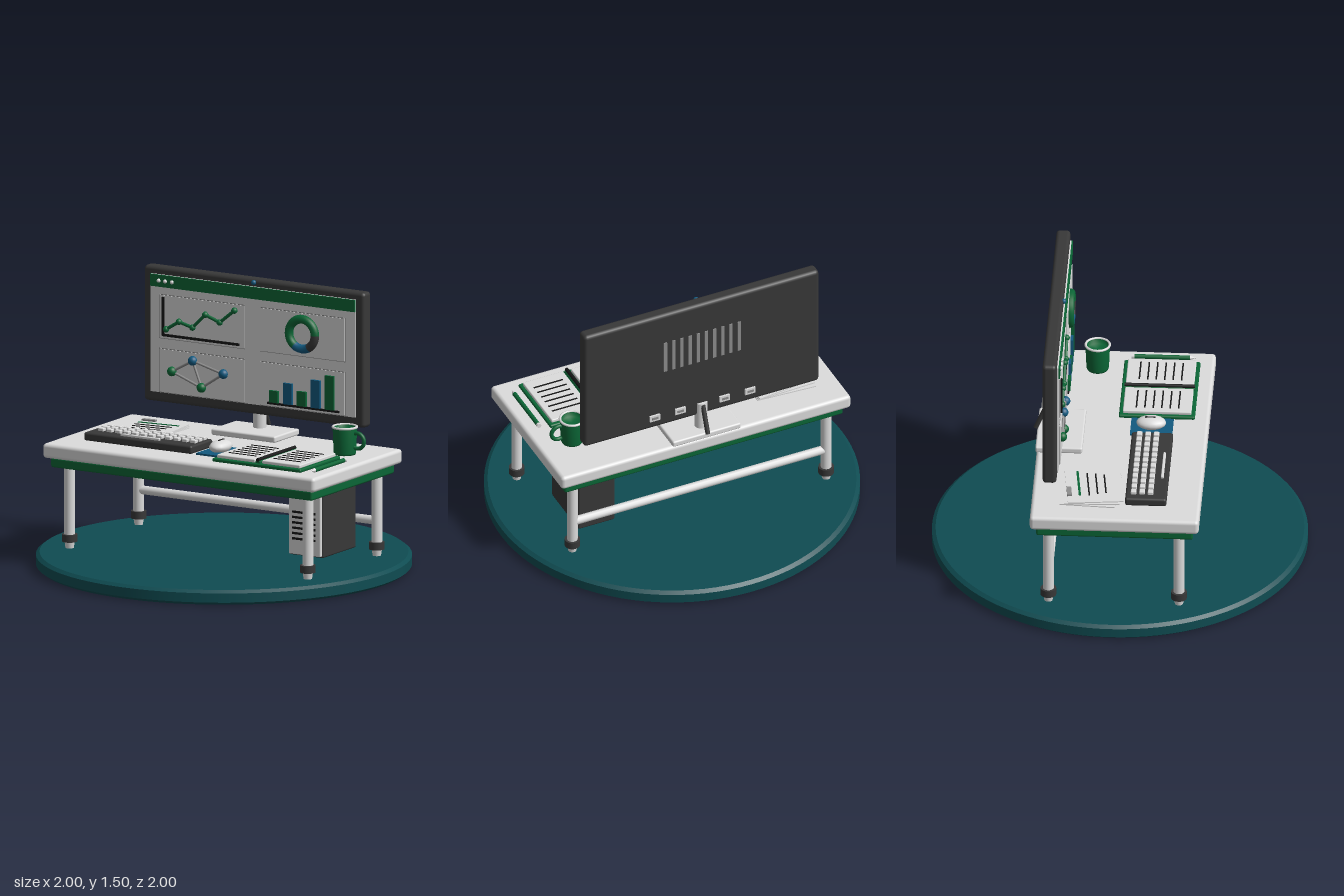
import * as THREE from 'three';
import { RoundedBoxGeometry } from 'three/addons/geometries/RoundedBoxGeometry.js';

const colors = {
  light: 0xdcdcdc, dark: 0x383838, ink: 0x161616, green: 0x0b6636,
  teal: 0x0f4c52, blue: 0x125a80, grey: 0x8c8c8c,
};

export function createModel() {
  const root = new THREE.Group();
  root.name = 'computerDesk';
  const M = {};
  for (const [name, color] of Object.entries(colors)) {
    M[name] = new THREE.MeshStandardMaterial({ color });
    M[name].name = name;
  }

  const group = (name, parent = root) => {
    const g = new THREE.Group();
    g.name = name;
    parent.add(g);
    return g;
  };
  const add = (parent, name, geo, mat, x = 0, y = 0, z = 0) => {
    const m = new THREE.Mesh(geo, M[mat]);
    m.name = name;
    m.position.set(x, y, z);
    parent.add(m);
    return m;
  };
  const box = (p, name, mat, w, h, d, x, y, z, r = 0) =>
    add(p, name, r ? new RoundedBoxGeometry(w, h, d, 2, r) : new THREE.BoxGeometry(w, h, d), mat, x, y, z);
  const cyl = (p, name, mat, rTop, rBottom, h, x, y, z, n = 20) =>
    add(p, name, new THREE.CylinderGeometry(rTop, rBottom, h, n), mat, x, y, z);
  const ball = (p, name, mat, r, x, y, z) =>
    add(p, name, new THREE.SphereGeometry(r, 16, 12), mat, x, y, z);
  const rod = (p, name, mat, r, a, b) => {
    const va = new THREE.Vector3(...a), dir = new THREE.Vector3(...b).sub(va);
    const m = cyl(p, name, mat, r, r, dir.length(), 0, 0, 0, 12);
    m.position.copy(va).addScaledVector(dir, 0.5);
    m.quaternion.setFromUnitVectors(new THREE.Vector3(0, 1, 0), dir.normalize());
    return m;
  };

  // Round floor with bevelled edges
  cyl(root, 'floorTopBevel', 'teal', 0.98, 1, 0.015, 0, 0.0725, 0, 96);
  cyl(root, 'floorDisc', 'teal', 1, 1, 0.05, 0, 0.04, 0, 96);
  cyl(root, 'floorBottomBevel', 'teal', 1, 0.98, 0.015, 0, 0.0075, 0, 96);

  // Table
  const table = group('table');
  box(table, 'tableTop', 'light', 1.7, 0.08, 0.9, 0, 0.615, 0.015, 0.02);
  box(table, 'apron', 'green', 1.635, 0.055, 0.835, 0, 0.55, 0.015, 0.012);
  for (const x of [-0.745, 0.745]) for (const z of [-0.34, 0.355]) {
    cyl(table, 'leg', 'light', 0.029, 0.029, 0.41, x, 0.33, z);
    cyl(table, 'footCollar', 'dark', 0.042, 0.042, 0.04, x, 0.135, z);
    cyl(table, 'footTip', 'light', 0.028, 0.022, 0.04, x, 0.097, z);
  }
  rod(table, 'stretcher', 'light', 0.024, [-0.745, 0.27, -0.34], [0.745, 0.27, -0.34]);

  // Computer tower
  const tower = group('computerTower');
  box(tower, 'towerBody', 'dark', 0.215, 0.395, 0.335, 0.562, 0.328, -0.088, 0.01);
  box(tower, 'towerFront', 'light', 0.2, 0.38, 0.02, 0.562, 0.328, 0.085, 0.006);
  for (let i = 0; i < 6; i++)
    box(tower, 'towerVent', 'ink', 0.145, 0.011, 0.008, 0.56, 0.225 + i * 0.029, 0.098);
  box(tower, 'driveSlot', 'ink', 0.06, 0.01, 0.008, 0.56, 0.475, 0.098);
  ball(tower, 'powerButton', 'ink', 0.01, 0.625, 0.48, 0.096);

  // Monitor body and stand
  const monitor = group('monitor');
  box(monitor, 'monitorCase', 'dark', 1.38, 0.735, 0.075, 0, 1.137, -0.338, 0.02);
  box(monitor, 'screen', 'light', 1.28, 0.64, 0.009, 0, 1.145, -0.297);
  ball(monitor, 'camera', 'blue', 0.014, 0, 1.486, -0.299);
  box(monitor, 'standBase', 'light', 0.4, 0.035, 0.25, 0, 0.672, -0.315, 0.01);
  cyl(monitor, 'standNeck', 'light', 0.035, 0.035, 0.17, 0, 0.765, -0.36);
  rod(monitor, 'cable', 'dark', 0.013, [0, 0.84, -0.385], [0, 0.69, -0.448]);
  for (let i = 0; i < 10; i++)
    box(monitor, 'backVent', 'grey', 0.018, 0.19, 0.008, -0.216 + i * 0.048, 1.225, -0.377);
  for (const x of [-0.28, -0.13, 0.13, 0.28]) {
    box(monitor, 'port', 'light', 0.06, 0.036, 0.014, x, 0.84, -0.379);
    box(monitor, 'portSocket', 'grey', 0.036, 0.014, 0.004, x, 0.84, -0.386);
  }

  // Screen contents
  const display = group('screenDisplay', monitor);
  box(display, 'headerBar', 'green', 1.28, 0.065, 0.009, 0, 1.432, -0.289);
  for (const x of [-0.585, -0.545, -0.502]) ball(display, 'headerDot', 'light', 0.011, x, 1.433, -0.284);
  for (const x of [-0.317, 0.313]) for (const y of [1.24, 0.947]) {
    box(display, 'cardEdge', 'grey', 0.536, 0.241, 0.004, x, y, -0.2915);
    box(display, 'card', 'light', 0.528, 0.233, 0.008, x, y, -0.289);
  }

  // Line chart
  box(display, 'chartAxis', 'ink', 0.013, 0.21, 0.009, -0.555, 1.243, -0.281);
  box(display, 'chartAxis', 'ink', 0.48, 0.013, 0.009, -0.32, 1.142, -0.281);
  const line = [[-0.535, 1.175], [-0.455, 1.225], [-0.37, 1.203], [-0.29, 1.282], [-0.2, 1.25], [-0.108, 1.325]];
  line.forEach(([x, y], i) => {
    ball(display, 'chartPoint', 'green', 0.017, x, y, -0.278);
    if (i) rod(display, 'chartLine', 'green', 0.009, [...line[i - 1], -0.278], [x, y, -0.278]);
  });

  // Ring chart, one arc for each share
  for (const [mat, from, to] of [['green', 0, 235], ['blue', 235, 300], ['dark', 300, 360]]) {
    const rad = Math.PI / 180;
    const arc = add(display, 'ringShare', new THREE.TorusGeometry(0.081, 0.024, 10, Math.ceil((to - from) / 9),
      (to - from) * rad), mat, 0.315, 1.245, -0.28);
    arc.rotation.z = from * rad;
  }

  // Network chart
  const nodes = [[-0.5, 0.95], [-0.37, 1.022], [-0.178, 0.972], [-0.315, 0.882]];
  nodes.forEach(([x, y], i) => ball(display, 'networkNode', i % 3 ? 'blue' : 'green', 0.026, x, y, -0.28));
  for (const [a, b] of [[0, 1], [0, 3], [1, 3], [1, 2], [2, 3]])
    rod(display, 'networkLink', 'grey', 0.007, [...nodes[a], -0.28], [...nodes[b], -0.28]);

  // Bar chart
  box(display, 'barBaseline', 'ink', 0.45, 0.011, 0.009, 0.322, 0.847, -0.281);
  [0.065, 0.115, 0.08, 0.152, 0.185].forEach((h, i) =>
    box(display, 'chartBar', i % 2 ? 'blue' : 'green', 0.055, h, 0.018, 0.14 + i * 0.087, 0.853 + h / 2, -0.28));

  // Keyboard
  const keyboard = group('keyboard');
  box(keyboard, 'keyboardBase', 'dark', 0.675, 0.045, 0.22, -0.365, 0.677, 0.175, 0.012);
  for (let r = 0; r < 3; r++) for (let c = 0; c < 12; c++)
    box(keyboard, 'key', 'light', 0.034, 0.02, 0.03, -0.64 + c * 0.0523, 0.706, 0.108 + r * 0.045, 0.005);
  box(keyboard, 'spaceBar', 'light', 0.245, 0.016, 0.015, -0.367, 0.704, 0.252, 0.004);

  // Mouse on its pad
  box(root, 'mousePad', 'blue', 0.165, 0.01, 0.225, 0.08, 0.66, 0.165);
  const mouse = group('mouse');
  ball(mouse, 'mouseBody', 'light', 1, 0.08, 0.69, 0.162).scale.set(0.054, 0.034, 0.08);
  box(mouse, 'mouseWheel', 'ink', 0.01, 0.012, 0.055, 0.08, 0.721, 0.157, 0.004);

  // Open notebook
  const book = group('notebook');
  box(book, 'bookCover', 'green', 0.555, 0.02, 0.405, 0.443, 0.667, 0.187, 0.008);
  rod(book, 'bookSpine', 'ink', 0.01, [0.443, 0.695, 0], [0.443, 0.695, 0.375]);
  rod(book, 'bookFold', 'green', 0.014, [0.443, 0.68, 0], [0.443, 0.68, 0.375]);
  for (const x of [0.303, 0.585]) {
    box(book, 'page', 'light', 0.238, 0.02, 0.365, x, 0.685, 0.187, 0.006);
    for (let i = 0; i < 6; i++)
      box(book, 'writtenLine', 'ink', 0.17, 0.004, 0.008, x, 0.696, 0.075 + i * 0.045);
  }

  // Pencil
  rod(root, 'pencil', 'green', 0.012, [0.77, 0.668, 0.03], [0.77, 0.668, 0.33]);
  const tip = add(root, 'pencilTip', new THREE.ConeGeometry(0.012, 0.035, 12), 'light', 0.77, 0.668, 0.3475);
  tip.rotation.x = Math.PI / 2;
  rod(root, 'pencilEnd', 'light', 0.0125, [0.77, 0.668, 0.02], [0.77, 0.668, 0.035]);

  // Mug with a light rim, drink and handle
  const mug = group('mug');
  mug.position.set(0.66, 0.655, -0.155);
  const profile = [[0, 0], [0.056, 0], [0.06, 0.01], [0.066, 0.148], [0.056, 0.148], [0.054, 0.12], [0, 0.12]];
  add(mug, 'mugBody', new THREE.LatheGeometry(profile.map(p => new THREE.Vector2(...p)), 28), 'green');
  add(mug, 'mugRim', new THREE.TorusGeometry(0.064, 0.007, 8, 28), 'light', 0, 0.148, 0).rotation.x = Math.PI / 2;
  const handle = add(mug, 'mugHandle', new THREE.TorusGeometry(0.042, 0.011, 10, 20, Math.PI * 1.3), 'green', 0.078, 0.08, 0);
  handle.rotation.z = -Math.PI * 0.65;

  // Loose papers, each turned a little
  const papers = group('papers');
  [-0.06, 0.03, 0.11].forEach((turn, i) => {
    const sheet = group('sheet', papers);
    sheet.position.set(-0.555 + i * 0.008, 0.659 + i * 0.007, -0.125 + i * 0.008);
    sheet.rotation.y = turn;
    box(sheet, 'paper', 'light', 0.335, 0.006, 0.295, 0, 0, 0);
    if (i < 2) return;
    box(sheet, 'paperTitle', 'green', 0.24, 0.004, 0.012, 0.02, 0.004, -0.08);
    for (let k = 0; k < 3; k++)
      box(sheet, 'paperLine', 'ink', 0.22 - k * 0.02, 0.004, 0.008, 0.01, 0.004, -0.03 + k * 0.045);
    box(sheet, 'paperClip', 'grey', 0.08, 0.012, 0.025, -0.06, 0.006, -0.135);
  });

  return root;
}
